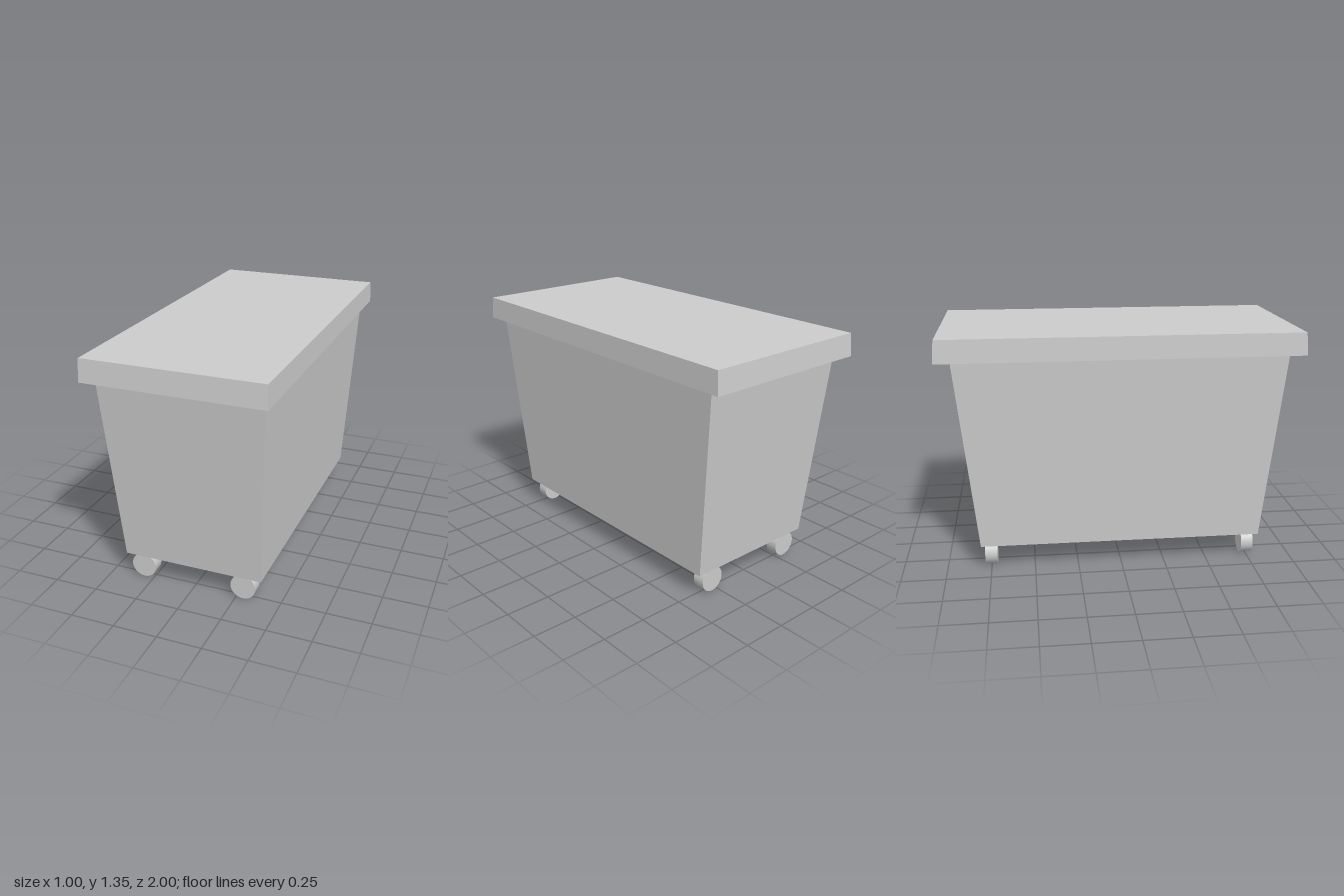
import * as THREE from 'three';

const material = new THREE.MeshStandardMaterial({ color: 0xcccccc });

// Box whose half width and half depth change from bottom to top
function taperedBox(name, y0, y1, bottom, top) {
  const geometry = new THREE.BoxGeometry(2, y1 - y0, 2);
  geometry.translate(0, (y0 + y1) / 2, 0);
  const p = geometry.attributes.position;
  const middle = (y0 + y1) / 2;
  for (let i = 0; i < p.count; i++) {
    const [hx, hz] = p.getY(i) > middle ? top : bottom;
    p.setX(i, p.getX(i) * hx);
    p.setZ(i, p.getZ(i) * hz);
  }
  geometry.computeVertexNormals();
  const mesh = new THREE.Mesh(geometry, material);
  mesh.name = name;
  return mesh;
}

export function createModel() {
  const model = new THREE.Group();
  model.name = 'wheeledBin';

  // Bin tapers toward the floor, lid overhangs it
  model.add(taperedBox('binBody', 0.143, 1.226, [0.402, 0.805], [0.457, 0.915]));
  model.add(taperedBox('lid', 1.226, 1.352, [0.5, 1.0], [0.495, 0.99]));

  // Four wheels with their axles along the length of the bin
  const radius = 0.072;
  const wheelGeometry = new THREE.CylinderGeometry(radius, radius, 0.07, 32);
  wheelGeometry.rotateX(Math.PI / 2);
  const wheels = [
    ['frontLeftWheel', 0.29, 0.75],
    ['frontRightWheel', -0.307, 0.75],
    ['backLeftWheel', 0.286, -0.75],
    ['backRightWheel', -0.302, -0.75],
  ];
  for (const [name, x, z] of wheels) {
    const wheel = new THREE.Mesh(wheelGeometry, material);
    wheel.name = name;
    wheel.position.set(x, radius, z);
    model.add(wheel);
  }
  return model;
}
